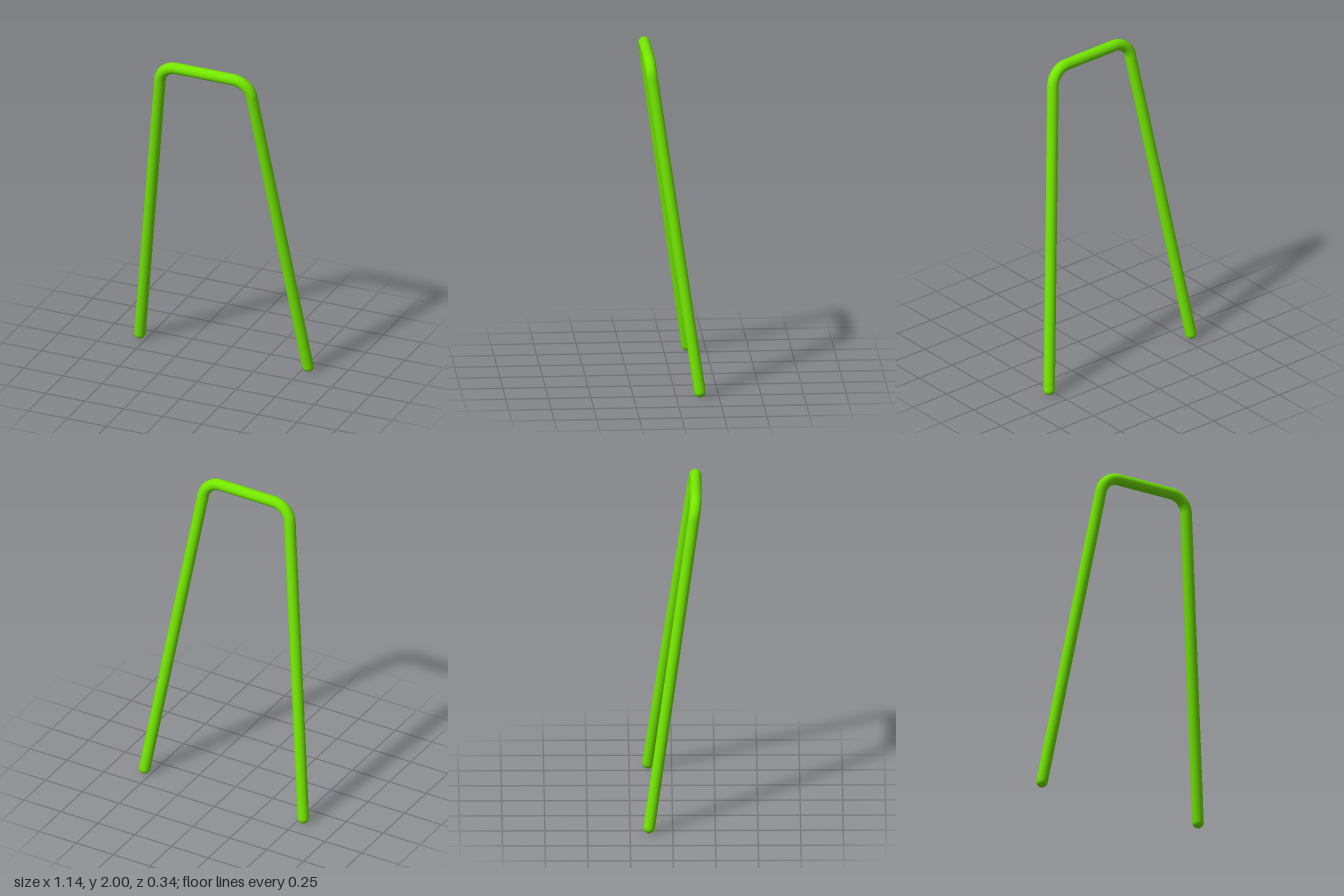
import * as THREE from 'three';

const R = 0.034; // pipe radius
const SIDES = 32;

export function createModel() {
  const group = new THREE.Group();
  group.name = 'bentPipeFrame';
  const material = new THREE.MeshStandardMaterial({ color: 0x73e600 });

  const add = (geometry, name) => {
    const mesh = new THREE.Mesh(geometry, material);
    mesh.name = name;
    group.add(mesh);
    return mesh;
  };
  const pipe = (curve, steps, name) => add(new THREE.TubeGeometry(curve, steps, R, SIDES), name);

  const bendLength = 0.1; // from the sharp corner to where each straight begins
  const barEnds = [];

  for (const [side, label] of [[1, 'left'], [-1, 'right']]) {
    const foot = new THREE.Vector3(side * 0.538, R, -0.138);
    const corner = new THREE.Vector3(side * 0.281, 2 - R, 0.138);
    const legTop = corner.clone().add(foot.clone().sub(corner).setLength(bendLength));
    const barEnd = corner.clone().setX(corner.x - side * bendLength);
    barEnds.push(barEnd);

    // Straight splayed leg with a rounded foot
    pipe(new THREE.LineCurve3(foot, legTop), 1, label + 'Leg');
    add(new THREE.SphereGeometry(R, SIDES, 16), label + 'Foot').position.copy(foot);

    // Near-circular bend between leg and crossbar
    const bend = new THREE.CubicBezierCurve3(
      legTop, legTop.clone().lerp(corner, 0.574),
      barEnd.clone().lerp(corner, 0.574), barEnd);
    pipe(bend, 20, label + 'Bend');
  }

  // Crossbar
  pipe(new THREE.LineCurve3(barEnds[1], barEnds[0]), 1, 'crossbar');
  return group;
}
